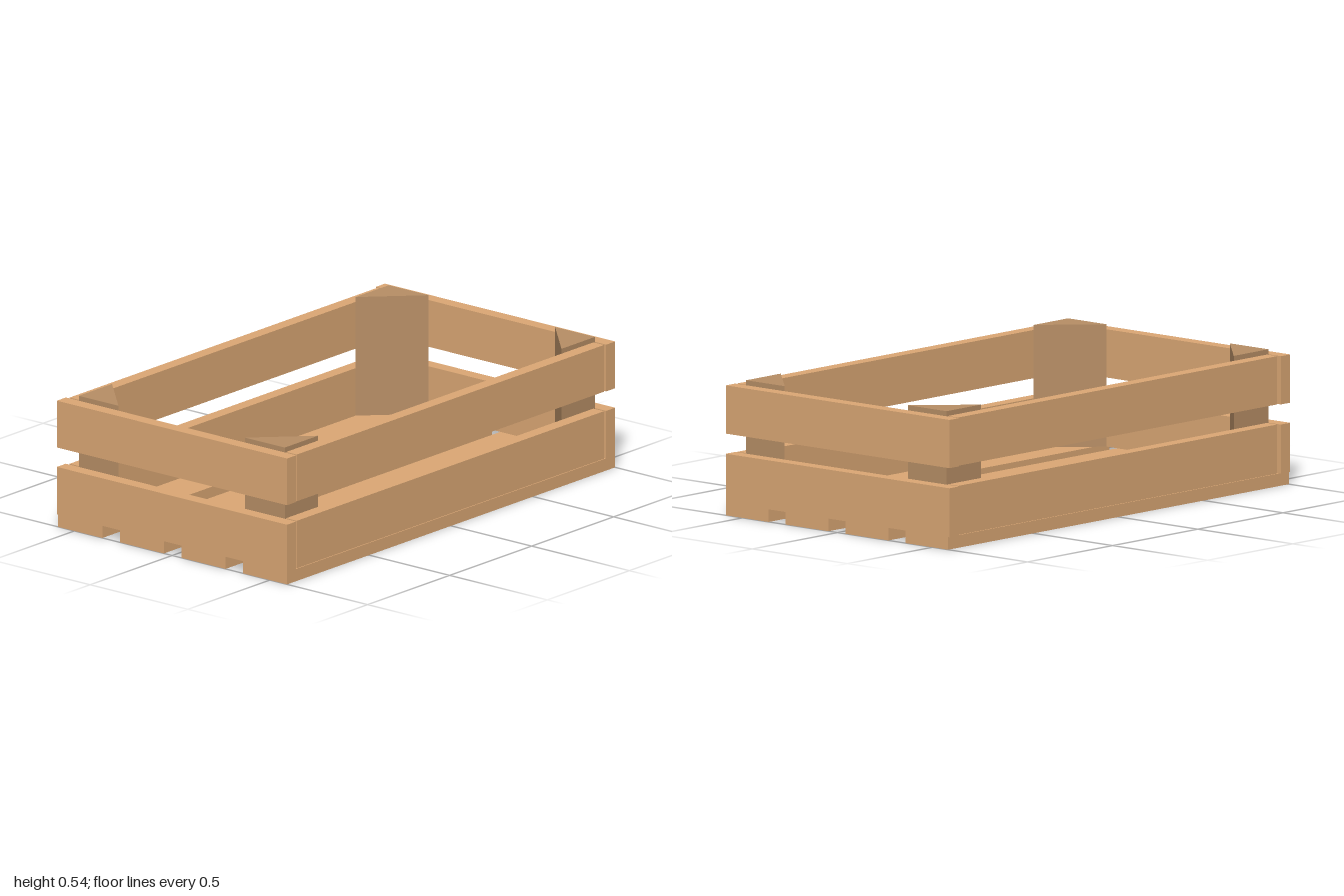
import * as THREE from 'three';

export function createModel() {
  const crate = new THREE.Group();
  crate.name = 'crate';
  const wood = new THREE.MeshStandardMaterial({ color: 0xdca875 });
  const darkWood = new THREE.MeshStandardMaterial({ color: 0xb88f66 });

  // Box given by its limits on each axis
  const plank = (name, [x0, x1], [y0, y1], [z0, z1]) => {
    const mesh = new THREE.Mesh(new THREE.BoxGeometry(x1 - x0, y1 - y0, z1 - z0), wood);
    mesh.position.set((x0 + x1) / 2, (y0 + y1) / 2, (z0 + z1) / 2);
    mesh.name = name;
    crate.add(mesh);
  };

  // Floor slats running the full length
  for (let i = 0; i < 4; i++) {
    const x = -0.583 + i * 0.315;
    plank('floorSlat', [x, x + 0.226], [0, 0.05], [-1, 1]);
  }

  // Two tiers of end and side planks, with small gaps at the corners
  for (const tier of [[0.05, 0.245], [0.325, 0.517]]) {
    plank('frontPlank', [-0.59, 0.588], tier, [0.945, 1]);
    plank('backPlank', [-0.59, 0.588], tier, [-1, -0.945]);
    plank('rightPlank', [-0.578, -0.524], tier, [-0.936, 0.936]);
    plank('leftPlank', [0.53, 0.584], tier, [-0.936, 0.936]);
  }

  // Triangular corner posts, their right angles set into the corners
  for (const [sx, x] of [[-1, -0.524], [1, 0.53]]) {
    for (const sz of [-1, 1]) {
      const z = sz * 0.945;
      const triangle = new THREE.Shape([
        new THREE.Vector2(x, -z),
        new THREE.Vector2(x - sx * 0.203, -z),
        new THREE.Vector2(x, -z + sz * 0.203),
      ]);
      const geometry = new THREE.ExtrudeGeometry(triangle, { depth: 0.487, bevelEnabled: false });
      geometry.rotateX(-Math.PI / 2);
      const post = new THREE.Mesh(geometry, darkWood);
      post.position.y = 0.05;
      post.name = 'cornerPost';
      crate.add(post);
    }
  }
  return crate;
}
